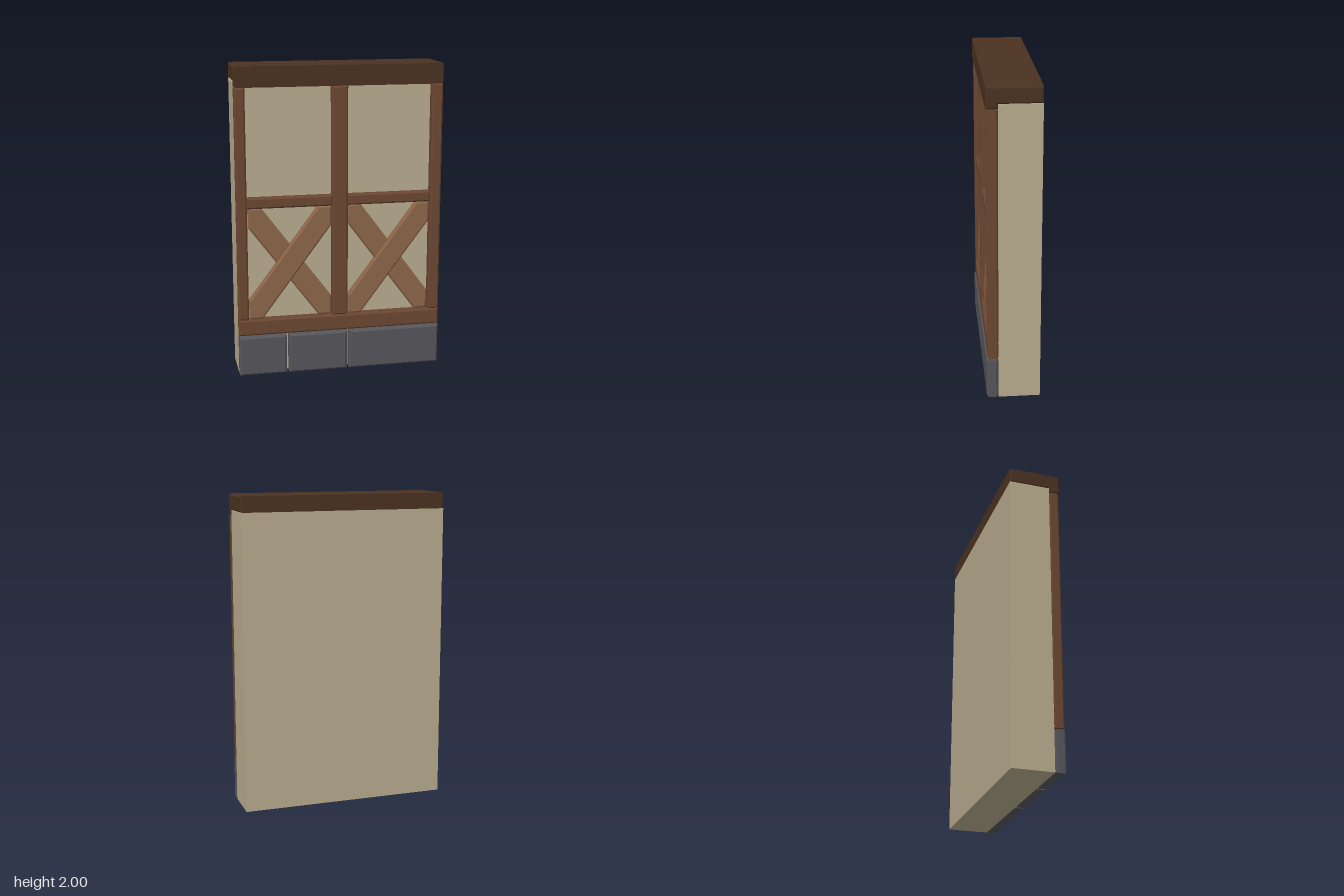
import * as THREE from 'three';

const material = (name, color) => {
  const m = new THREE.MeshStandardMaterial({ color });
  m.name = name;
  return m;
};

// Solid from a flat outline, depth from z0 to z1, with chamfered edges kept inside the outline
function chamfered(points, z0, z1, bevel = 0.01) {
  const shape = new THREE.Shape(points.map(([x, y]) => new THREE.Vector2(x, y)));
  const geo = new THREE.ExtrudeGeometry(shape, {
    depth: z1 - z0 - 2 * bevel, bevelEnabled: true, bevelSegments: 1,
    bevelSize: bevel, bevelThickness: bevel, bevelOffset: -bevel,
  });
  return geo.translate(0, 0, z0 + bevel);
}

const rect = (x0, x1, y0, y1) => [[x0, y0], [x1, y0], [x1, y1], [x0, y1]];

export function createModel() {
  const group = new THREE.Group();
  group.name = 'timberFramedWall';

  const plaster = material('plaster', 0xb7aa8d);
  const timber = material('timber', 0x6b4632);
  const braceWood = material('braceWood', 0x8b6548);
  const darkWood = material('darkWood', 0x4a3221);
  const stone = material('stone', 0x55555a);

  const add = (name, geo, mat) => {
    const mesh = new THREE.Mesh(geo, mat);
    mesh.name = name;
    group.add(mesh);
  };

  const W = 0.665, back = -0.166, face = 0.094;

  // Plaster wall
  const wall = new THREE.BoxGeometry(2 * W, 1.9, face - back);
  add('plasterWall', wall.translate(0, 0.95, (face + back) / 2), plaster);

  // Top beam with a lip hanging over the front of the wall
  const profile = [[-0.166, 1.87], [-face, 1.87], [-face, 1.9], [-back, 1.9], [-back, 2], [-0.166, 2]];
  add('topBeam', chamfered(profile, -W, W, 0.008).rotateY(Math.PI / 2), darkWood);

  // Foundation stones
  [[-W, -0.355], [-0.34, 0.045], [0.06, W]].forEach(([a, b], i) =>
    add(`foundationStone${i + 1}`, chamfered(rect(a, b, 0, 0.262), face, 0.167, 0.012), stone));

  // Sill and posts
  add('sillBeam', chamfered(rect(-W, W, 0.27, 0.375), face, 0.16), timber);
  [[-W, -0.598], [-0.052, 0.05], [0.595, W]].forEach(([a, b], i) =>
    add(`post${i + 1}`, chamfered(rect(a, b, 0.375, 1.87), face, 0.16), timber));

  // Middle rails and crossed braces, one set per bay
  [-0.323, 0.322].forEach((cx, i) => {
    add(`middleRail${i + 1}`, chamfered(rect(cx - 0.275, cx + 0.273, 1.105, 1.175), face, 0.15), timber);
    const brace = (s) => [
      [-0.268, 0.375], [-0.183, 0.375], [0.268, 0.98], [0.268, 1.105], [0.183, 1.105], [-0.268, 0.5],
    ].map(([x, y]) => [cx + s * x, y]);
    add(`backBrace${i + 1}`, chamfered(brace(-1), face, 0.13), braceWood);
    add(`frontBrace${i + 1}`, chamfered(brace(1), face, 0.145), braceWood);
  });

  return group;
}
